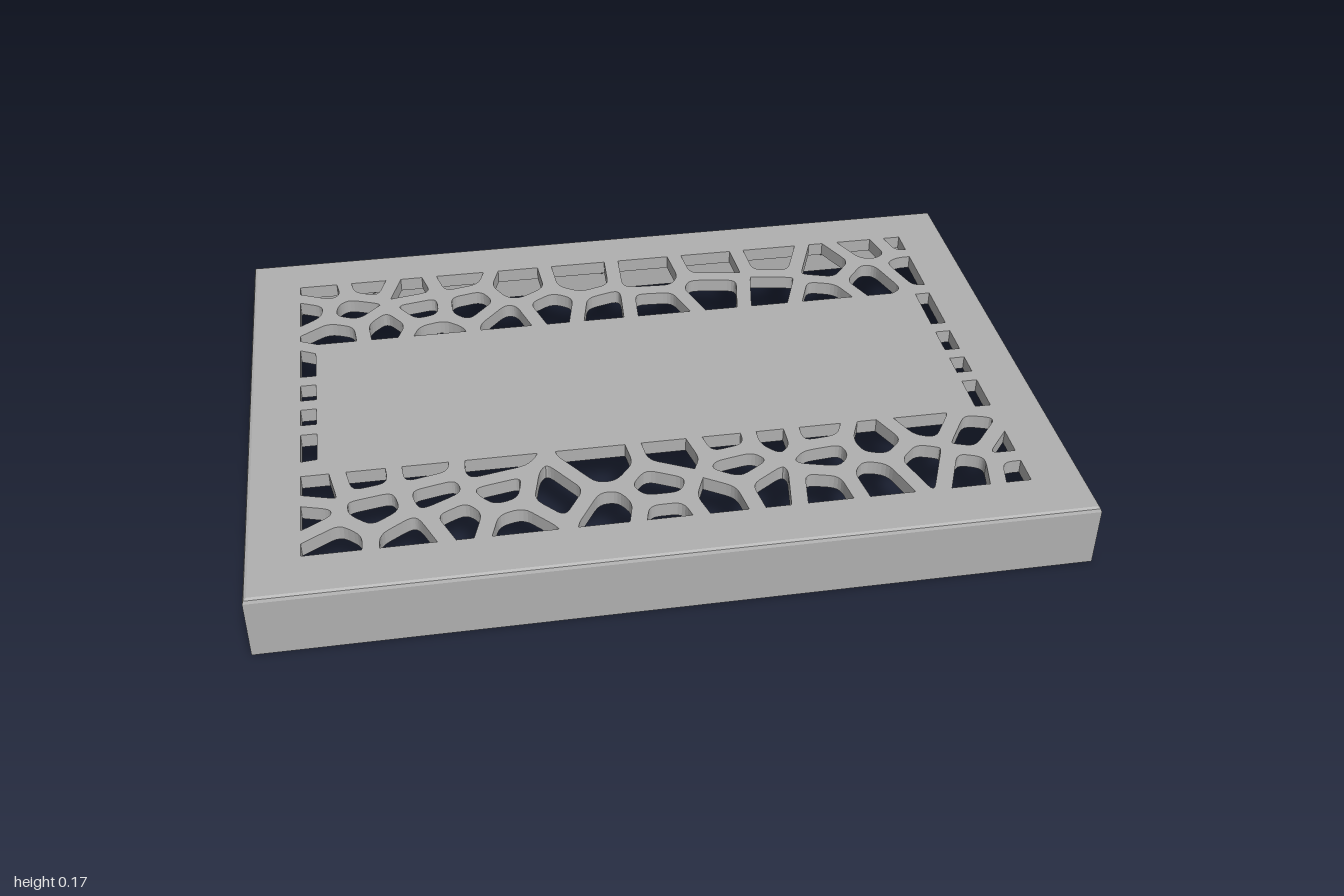
import * as THREE from 'three';

// Cell centres of the pierced pattern, x and z in hundredths
const backCells = [
  -81, -54, -68, -56, -56, -52, -44, -55, -26, -49, -9, -50, 11, -49, 30, -51, 47, -52, 62, -46,
  77, -53, 85, -55, -85, -45, -73, -43, -54, -41, -41, -41, -77, -33, -64, -34, -51, -29, -31, -32,
  -18, -36, -4, -33, 10, -32, 28, -38, 44, -35, 57, -30, 73, -37, 85, -41];
const frontCells = [
  -72, 31, -83, 33, -86, 43, -70, 42, -57, 30, -55, 39, -42, 31, -40, 41, -27, 44, -14, 35,
  4, 33, -2, 45, 17, 30, 19, 40, 30, 30, 39, 30, 40, 40, 55, 37, 68, 31, 63, 45, 79, 38,
  -80, 53, -62, 54, -50, 49, -37, 53, -14, 52, -2, 55, 12, 51, 25, 49, 37, 51, 51, 49, 75, 50,
  85, 43, 85, 52];
const sideCells = [-85, -17, -85, -6, -85, 4, -85, 15, 85, -17, 85, -2, 85, 8, 85, 19];

// Open regions of the plate: x0, x1, z0, z1
const regions = [
  [-0.87, 0.87, -0.57, -0.28], [-0.87, 0.87, 0.28, 0.57],
  [-0.87, -0.83, -0.265, 0.265], [0.83, 0.87, -0.265, 0.265]];

const TOP = 0.167, UNDER = 0.13, SKIN = 0.147;

// Keep the part of a convex polygon where a*x + b*y <= c
function clip(poly, a, b, c) {
  const out = [];
  poly.forEach((p, i) => {
    const q = poly[(i + 1) % poly.length];
    const dp = a * p.x + b * p.y - c, dq = a * q.x + b * q.y - c;
    if (dp <= 0) out.push(p);
    if (dp * dq < 0) out.push(p.clone().lerp(q, dp / (dp - dq)));
  });
  return out;
}

// Replace each corner with a short curve
function roundCorners(poly) {
  const out = [], n = poly.length;
  poly.forEach((p, i) => {
    const ends = [poly[(i + n - 1) % n], poly[(i + 1) % n]].map((q) => {
      const len = p.distanceTo(q);
      return p.clone().lerp(q, Math.min(0.025, len * 0.42) / Math.max(len, 1e-6));
    });
    out.push(...new THREE.QuadraticBezierCurve(ends[0], p, ends[1]).getPoints(4));
  });
  return out;
}

// Inset cells around every centre, trimmed to the open regions
function cellHoles() {
  const flat = [...backCells, ...frontCells, ...sideCells];
  const seeds = [];
  for (let i = 0; i < flat.length; i += 2) seeds.push(new THREE.Vector2(flat[i] / 100, -flat[i + 1] / 100));
  const holes = [];
  for (const s of seeds) {
    let poly = [[-1, -1], [1, -1], [1, 1], [-1, 1]].map(([x, y]) => new THREE.Vector2(x, y));
    for (const t of seeds) {
      if (t === s) continue;
      const d = t.clone().sub(s).normalize();
      const mid = s.clone().add(t).multiplyScalar(0.5);
      poly = clip(poly, d.x, d.y, d.dot(mid) - 0.02);
    }
    if (poly.length < 3) continue;
    const rounded = roundCorners(poly);
    for (const [x0, x1, z0, z1] of regions) {
      let h = clip(clip(rounded, 1, 0, x1), -1, 0, -x0);
      h = clip(clip(h, 0, 1, -z0), 0, -1, z1);
      h = h.filter((p, i) => p.distanceTo(h[(i + 1) % h.length]) > 1e-4);
      if (h.length > 2 && Math.abs(THREE.ShapeUtils.area(h)) > 0.0002) holes.push(h);
    }
  }
  return holes;
}

// Honeycomb pockets under the solid panel
function hexHoles() {
  const holes = [], pitch = 0.15;
  for (let row = 0; row < 4; row++) {
    const count = row % 2 ? 10 : 11;
    for (let i = 0; i < count; i++) {
      const cx = (i - (count - 1) / 2) * pitch, cy = (row - 1.5) * pitch * 0.866;
      holes.push(Array.from({ length: 6 }, (_, k) => {
        const a = (k + 0.5) * Math.PI / 3;
        return new THREE.Vector2(cx + 0.066 * Math.cos(a), cy + 0.066 * Math.sin(a));
      }));
    }
  }
  return holes;
}

// Flat layer of the top plate between two heights
function layer(holes, y0, y1) {
  const w = 0.99, d = 0.69;
  const shape = new THREE.Shape([[-w, -d], [w, -d], [w, d], [-w, d]].map(([x, y]) => new THREE.Vector2(x, y)));
  shape.holes = holes.map((h) => new THREE.Path(h));
  const geo = new THREE.ExtrudeGeometry(shape, { depth: y1 - y0, bevelEnabled: false });
  return geo.rotateX(-Math.PI / 2).translate(0, y0, 0);
}

// Rectangular rings joined along a wall profile of [inset, height]
function wallGeometry() {
  const profile = [[0.015, UNDER], [0.015, 0], [0, 0], [0, 0.156], [0.003, 0.164], [0.01, TOP]];
  const corners = [[1, 1], [1, -1], [-1, -1], [-1, 1]];
  const at = (k, j) => {
    const [inset, y] = profile[k], [sx, sz] = corners[j % 4];
    return [sx * (1 - inset), y, sz * (0.7 - inset)];
  };
  const pos = [];
  for (let k = 0; k < profile.length - 1; k++) {
    for (let j = 0; j < 4; j++) {
      const a = at(k, j), b = at(k, j + 1), c = at(k + 1, j + 1), d = at(k + 1, j);
      pos.push(...a, ...b, ...c, ...a, ...c, ...d);
    }
  }
  const geo = new THREE.BufferGeometry();
  geo.setAttribute('position', new THREE.Float32BufferAttribute(pos, 3));
  geo.computeVertexNormals();
  return geo;
}

export function createModel() {
  const group = new THREE.Group();
  group.name = 'ventedCover';
  const grey = new THREE.MeshStandardMaterial({ color: 0xb0b0b0 });
  grey.name = 'grey';
  const add = (name, geo) => {
    const mesh = new THREE.Mesh(geo, grey);
    mesh.name = name;
    group.add(mesh);
    return mesh;
  };

  const cells = cellHoles();
  add('sideWalls', wallGeometry());
  add('piercedTop', layer(cells, SKIN, TOP));
  add('honeycombUnderside', layer([...cells, ...hexHoles()], UNDER, SKIN));

  // Small catches inside the long walls
  for (const z of [-0.685, 0.685]) {
    for (const x of [-0.67, 0, 0.67]) {
      add('catch', new THREE.SphereGeometry(0.013, 16, 10)).position.set(x, 0.07, z);
    }
  }
  return group;
}
